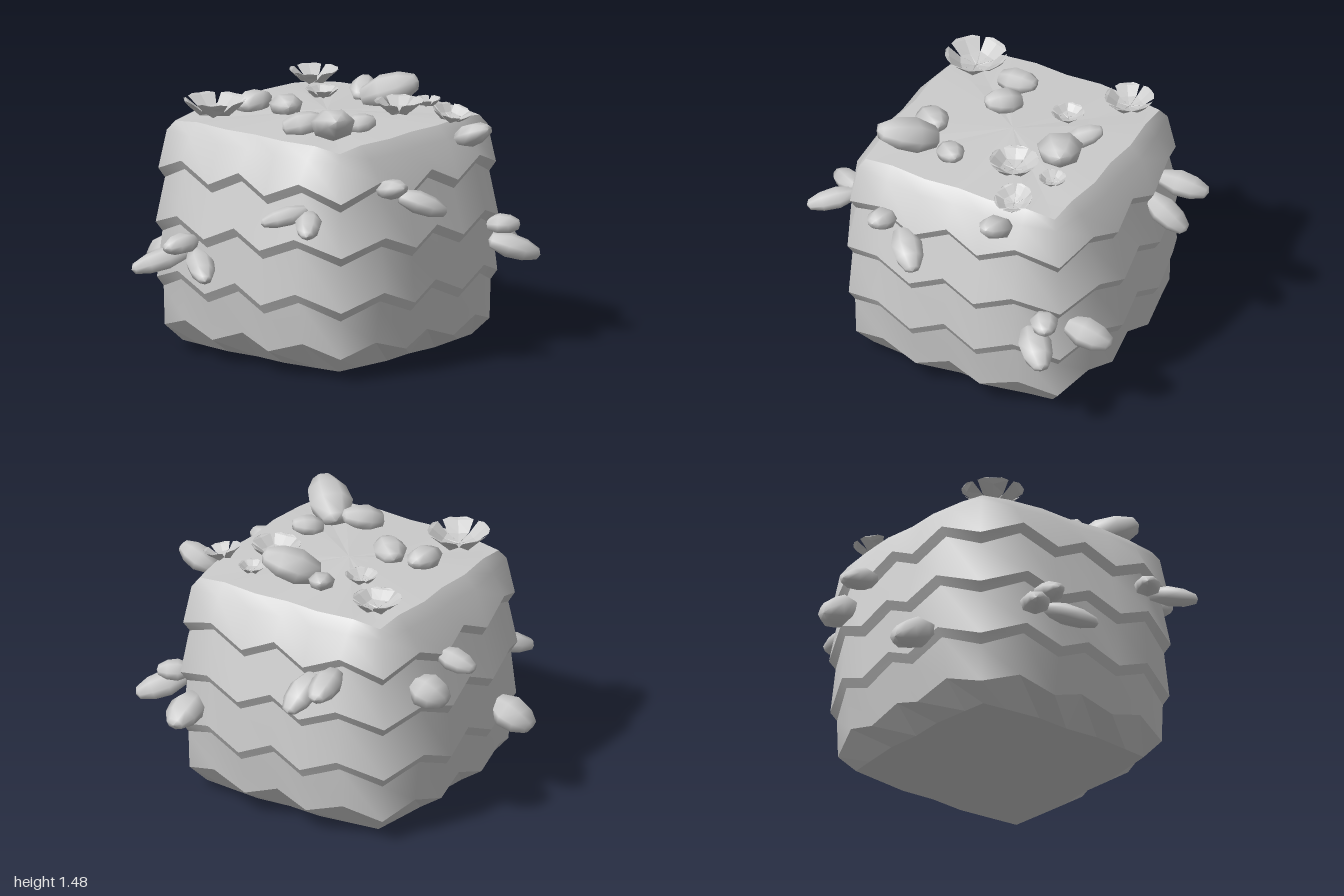
import * as THREE from 'three';

const V = (x, y, z) => new THREE.Vector3(x, y, z);
const material = new THREE.MeshStandardMaterial({ color: 0xcccccc });
const flatMaterial = new THREE.MeshStandardMaterial({ color: 0xcccccc, flatShading: true });

// Skin over closed rings listed from top to bottom, each running from +z towards +x
function loft(rings) {
  const n = rings[0].length, index = [];
  for (let i = 0; i < rings.length - 1; i++) {
    for (let j = 0; j < n; j++) {
      const k = (j + 1) % n, a = i * n + j, b = i * n + k;
      index.push(a, a + n, b + n, a, b + n, b);
    }
  }
  const geo = new THREE.BufferGeometry().setFromPoints(rings.flat());
  geo.setIndex(index);
  geo.computeVertexNormals();
  return geo;
}

// Rounded-square ring of 24 points: half width h, corner at (c, c), zigzag height a
function ring(y, h, c, a = 0, cornerDrop = 0) {
  const side = [[-0.42, 0.96], [-0.2, 1], [0, 0.975], [0.2, 1], [0.42, 0.96]];
  const points = [];
  for (let k = 0; k < 4; k++) {
    const turn = (p) => p.applyAxisAngle(V(0, 1, 0), k * Math.PI / 2);
    side.forEach(([t, s], j) => points.push(turn(V(t, y + (j % 2 ? -a : a), h * s))));
    points.push(turn(V(c, y - a - cornerDrop, c)));
  }
  return points;
}

function add(parent, name, geo, mat = material) {
  const mesh = new THREE.Mesh(geo, mat);
  mesh.name = name;
  parent.add(mesh);
  return mesh;
}

function buildBody() {
  const body = new THREE.Group();
  body.name = 'body';
  const rim = ring(1.305, 0.625, 0.59, 0, 0.02);
  add(body, 'topCap', loft([rim.map(() => V(0, 1.33, 0)), rim]));

  // Overlapping tiers, each with a zigzag hem and a ledge tucked in below it
  const hems = [[1.068, 0.77, 0.655, 0.047], [0.765, 0.81, 0.665, 0.045],
    [0.455, 0.8, 0.66, 0.045], [0.175, 0.735, 0.63, 0.035]];
  let start = [rim, ring(1.235, 0.69, 0.622)];
  hems.forEach(([y, h, c, a], i) => {
    const hem = ring(y, h, c, a);
    add(body, 'tier' + (i + 1), loft([...start, hem]));
    if (i < 3) {
      const tuck = ring(y - 0.052, h - 0.032, c - 0.026, a);
      add(body, 'ledge' + (i + 1), loft([hem, tuck]));
      start = [tuck];
    } else {
      const foot = ring(0.05, 0.6, 0.56);
      add(body, 'footBevel', loft([hem, foot]), flatMaterial);
      add(body, 'underside', loft([foot, foot.map(() => V(0, 0.005, 0))]));
    }
  });
  body.position.set(0.015, 0, -0.01);
  return body;
}

// Blunt seven-sided bud of unit length along +z
const budGeo = new THREE.LatheGeometry(
  [[0, 0], [0.3, 0.05], [0.5, 0.38], [0.44, 0.7], [0.24, 0.95], [0, 1]]
    .map(([r, y]) => new THREE.Vector2(r, y)), 7).rotateX(Math.PI / 2);

function bud(name, [x, y, z, tx, ty, tz, width]) {
  const group = new THREE.Group();
  const base = V(x, y, z), tip = V(tx, ty, tz);
  const mesh = add(group, name, budGeo);
  mesh.scale.set(width, width * 0.72, base.distanceTo(tip));
  group.position.copy(base);
  group.lookAt(tip);
  group.name = name;
  return group;
}

// Thick cupped petal, lofted from the flower centre (0) to its rim (1) along +z
const petalGeo = loft([[1, 0.28, 0.5, 0.05], [0.88, 0.5, 0.46, 0.16],
  [0.5, 0.34, 0.16, 0.2], [0.02, 0.03, 0.04, 0.12]]
  .map(([r, w, y, t]) => [V(0, y - t, r), V(w, y, r * 0.97), V(0, y - 0.03, r), V(-w, y, r * 0.97)])
  .map((section, i, all) => section.map((p) => p.clone()))
  .reduce((list, section, i, all) => {
    // Close the outer end with its own midpoint
    if (i === 0) list.push(section.map(() => V(0, 0.48, 1)));
    list.push(section);
    return list;
  }, []));

function flower([x, y, z, radius, turn, tilt]) {
  const group = new THREE.Group();
  group.name = 'flower';
  for (let i = 0; i < 5; i++) {
    add(group, 'petal', petalGeo, petalMaterial).rotation.y = turn + i * Math.PI * 2 / 5;
  }
  group.scale.setScalar(radius);
  group.position.set(x, y, z);
  group.rotation.z = -tilt;
  return group;
}
const petalMaterial = new THREE.MeshStandardMaterial({
  color: 0xcccccc, flatShading: true, side: THREE.DoubleSide });

// Base xyz, tip xyz, width
const sideBuds = [
  // front
  [-0.34, 0.62, 0.74, -0.53, 0.53, 1.0, 0.17], [-0.29, 0.63, 0.74, -0.05, 0.53, 0.94, 0.16],
  [-0.3, 0.69, 0.73, -0.33, 0.67, 0.95, 0.16], [0.48, 0.97, 0.7, 0.32, 0.91, 0.91, 0.15],
  [0.49, 0.95, 0.7, 0.66, 0.89, 0.92, 0.15],
  // left
  [0.68, 1.21, -0.33, 0.9, 1.3, -0.33, 0.18], [0.71, 1.06, 0.36, 0.9, 1.1, 0.38, 0.16],
  [0.76, 1.02, 0.27, 0.96, 0.92, 0.09, 0.18], [0.74, 0.62, -0.52, 0.95, 0.53, -0.71, 0.19],
  [0.68, 0.69, -0.57, 0.84, 0.69, -0.67, 0.16],
  // back
  [0.58, 0.6, -0.66, 0.56, 0.53, -0.93, 0.21], [-0.36, 1.02, -0.72, -0.41, 0.97, -1.0, 0.18],
  [-0.23, 0.97, -0.72, -0.21, 0.83, -0.97, 0.18],
  // right
  [-0.7, 1.02, -0.2, -0.93, 0.97, -0.2, 0.17], [-0.68, 0.92, -0.42, -0.89, 0.85, -0.42, 0.25],
  [-0.73, 0.52, 0.31, -0.97, 0.42, 0.31, 0.24],
];
const topBuds = [
  [-0.02, 1.33, -0.33, -0.12, 1.4, -0.5, 0.15], [0.01, 1.34, -0.3, 0.29, 1.45, -0.46, 0.26],
  [-0.36, 1.34, 0.28, -0.36, 1.36, 0.05, 0.18], [-0.23, 1.34, 0.07, -0.07, 1.37, 0.21, 0.19],
  [0.34, 1.33, 0.23, 0.46, 1.36, 0.1, 0.16], [0.11, 1.33, 0.48, 0.27, 1.38, 0.31, 0.19],
  [0.3, 1.34, 0.3, 0.55, 1.45, 0.54, 0.25],
];
// Centre xyz, radius, turn, tilt
const flowers = [
  [-0.47, 1.33, -0.47, 0.135, 0.3, 0], [-0.21, 1.33, -0.23, 0.09, 0.9, 0],
  [0.36, 1.33, -0.45, 0.075, 0.5, 0], [0.36, 1.335, -0.21, 0.135, 0.1, 0],
  [0.61, 1.31, -0.35, 0.105, 0.7, 0.25], [-0.4, 1.33, 0.45, 0.17, 0.6, 0],
];

export function createModel() {
  const model = new THREE.Group();
  model.name = 'floweringStump';
  model.add(buildBody());
  sideBuds.forEach((b) => model.add(bud('sideBud', b)));
  topBuds.forEach((b) => model.add(bud('topBud', b)));
  flowers.forEach((f) => model.add(flower(f)));
  return model;
}
